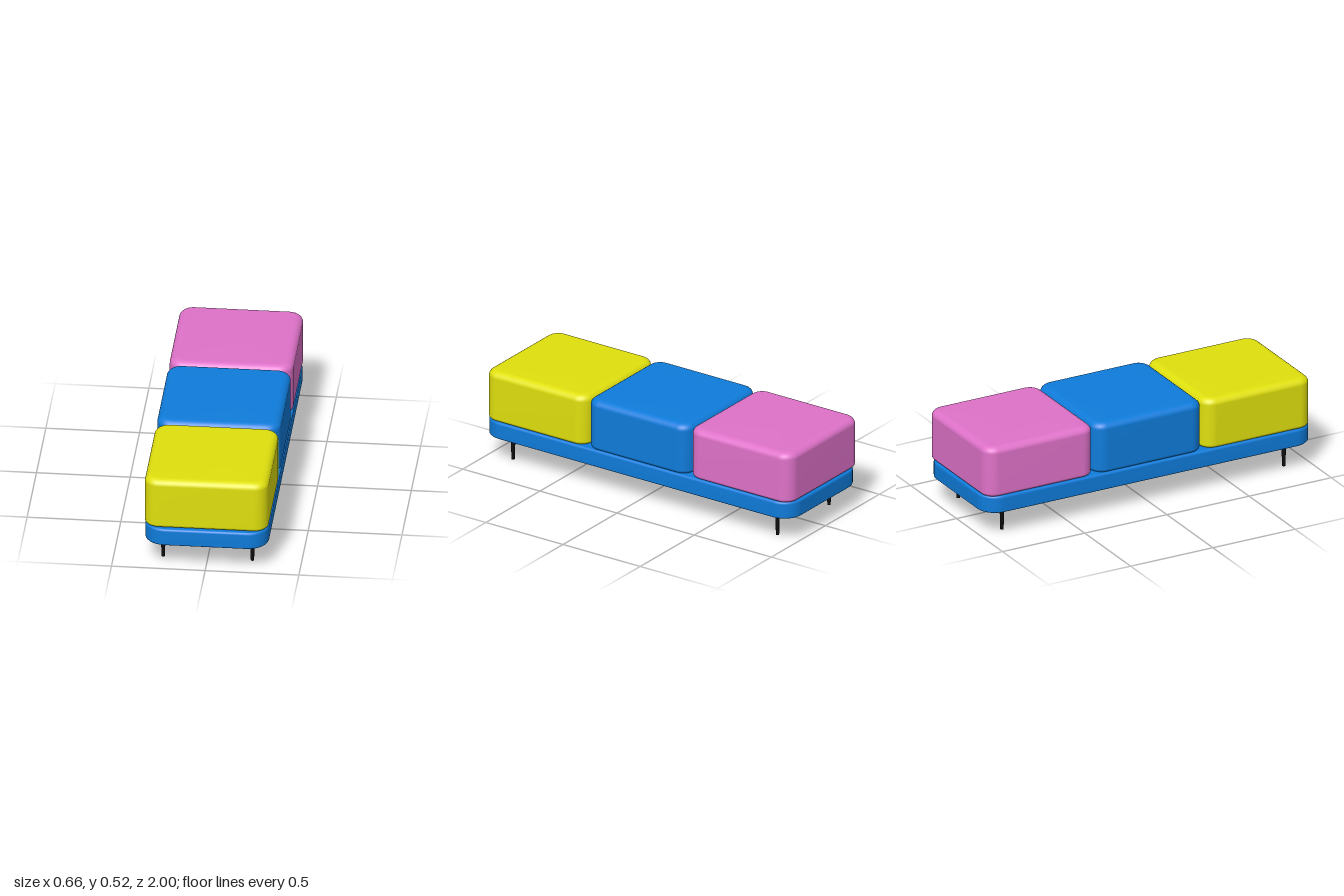
import * as THREE from 'three';

const blue = new THREE.MeshStandardMaterial({ name: 'blue fabric', color: 0x0f7cdb });
const yellow = new THREE.MeshStandardMaterial({ name: 'yellow fabric', color: 0xe0e00e });
const pink = new THREE.MeshStandardMaterial({ name: 'pink fabric', color: 0xdf72c9 });
const black = new THREE.MeshStandardMaterial({ name: 'black legs', color: 0x0c0c0c });

// Points of a rounded rectangle, pulled in by inset
function outline(width, depth, radius, inset, steps = 8) {
  const r = radius - inset;
  const points = [];
  for (let c = 0; c < 4; c++) {
    const sx = c === 0 || c === 3 ? 1 : -1;
    const sz = c < 2 ? 1 : -1;
    for (let i = 0; i <= steps; i++) {
      const a = (c + i / steps) * Math.PI / 2;
      points.push([sx * (width / 2 - radius) + r * Math.cos(a), sz * (depth / 2 - radius) + r * Math.sin(a)]);
    }
  }
  return points;
}

// Upholstered block: rounded outlines stacked along a profile of [y, inset], closed top and bottom
function padded(width, depth, radius, profile) {
  const positions = [], index = [];
  let n = 0;
  for (const [y, inset] of profile) {
    const ring = outline(width, depth, radius, inset);
    n = ring.length;
    for (const [x, z] of ring) positions.push(x, y, z);
  }
  const rows = profile.length;
  const bottom = rows * n, top = bottom + 1;
  positions.push(0, profile[0][0], 0, 0, profile[rows - 1][0], 0);
  for (let i = 0; i < n; i++) {
    const j = (i + 1) % n;
    for (let k = 0; k < rows - 1; k++) {
      const b = k * n, t = b + n;
      index.push(b + i, t + i, b + j, b + j, t + i, t + j);
    }
    index.push(bottom, i, j, top, (rows - 1) * n + j, (rows - 1) * n + i);
  }
  const geometry = new THREE.BufferGeometry();
  geometry.setAttribute('position', new THREE.Float32BufferAttribute(positions, 3));
  geometry.setIndex(index);
  geometry.computeVertexNormals();
  return geometry;
}

// Quarter-ellipse edges at the bottom and top of a padded block
function softProfile(y0, y1, bottomInset, bottomRise, topInset, topRise, steps = 6) {
  const profile = [];
  for (let i = 0; i <= steps; i++) {
    const a = i / steps * Math.PI / 2;
    profile.push([y0 + bottomRise * (1 - Math.cos(a)), bottomInset * (1 - Math.sin(a))]);
  }
  for (let i = 0; i <= steps; i++) {
    const a = i / steps * Math.PI / 2;
    profile.push([y1 - topRise * (1 - Math.sin(a)), topInset * (1 - Math.cos(a))]);
  }
  return profile;
}

export function createModel() {
  const model = new THREE.Group();
  model.name = 'bench';
  const add = (name, geometry, material, x, y, z) => {
    const mesh = new THREE.Mesh(geometry, material);
    mesh.name = name;
    mesh.position.set(x, y, z);
    model.add(mesh);
  };

  // Long padded base
  add('base', padded(0.66, 2, 0.11, softProfile(0.13, 0.235, 0.05, 0.018, 0.012, 0.014)), blue, 0, 0, 0);

  // Three seat cushions in a row
  const cushion = padded(0.66, 0.66, 0.075, softProfile(0.233, 0.52, 0.03, 0.022, 0.045, 0.036));
  add('frontCushion', cushion, yellow, 0, 0, 0.655);
  add('middleCushion', cushion, blue, 0, 0, -0.006);
  add('backCushion', cushion, pink, 0, 0, -0.667);

  // Four tapered legs
  const leg = new THREE.CylinderGeometry(0.013, 0.009, 0.135, 16);
  for (const x of [-0.238, 0.238]) {
    for (const z of [-0.857, 0.857]) {
      add(`${z > 0 ? 'front' : 'back'}${x > 0 ? 'Left' : 'Right'}Leg`, leg, black, x, 0.0675, z);
    }
  }
  return model;
}
